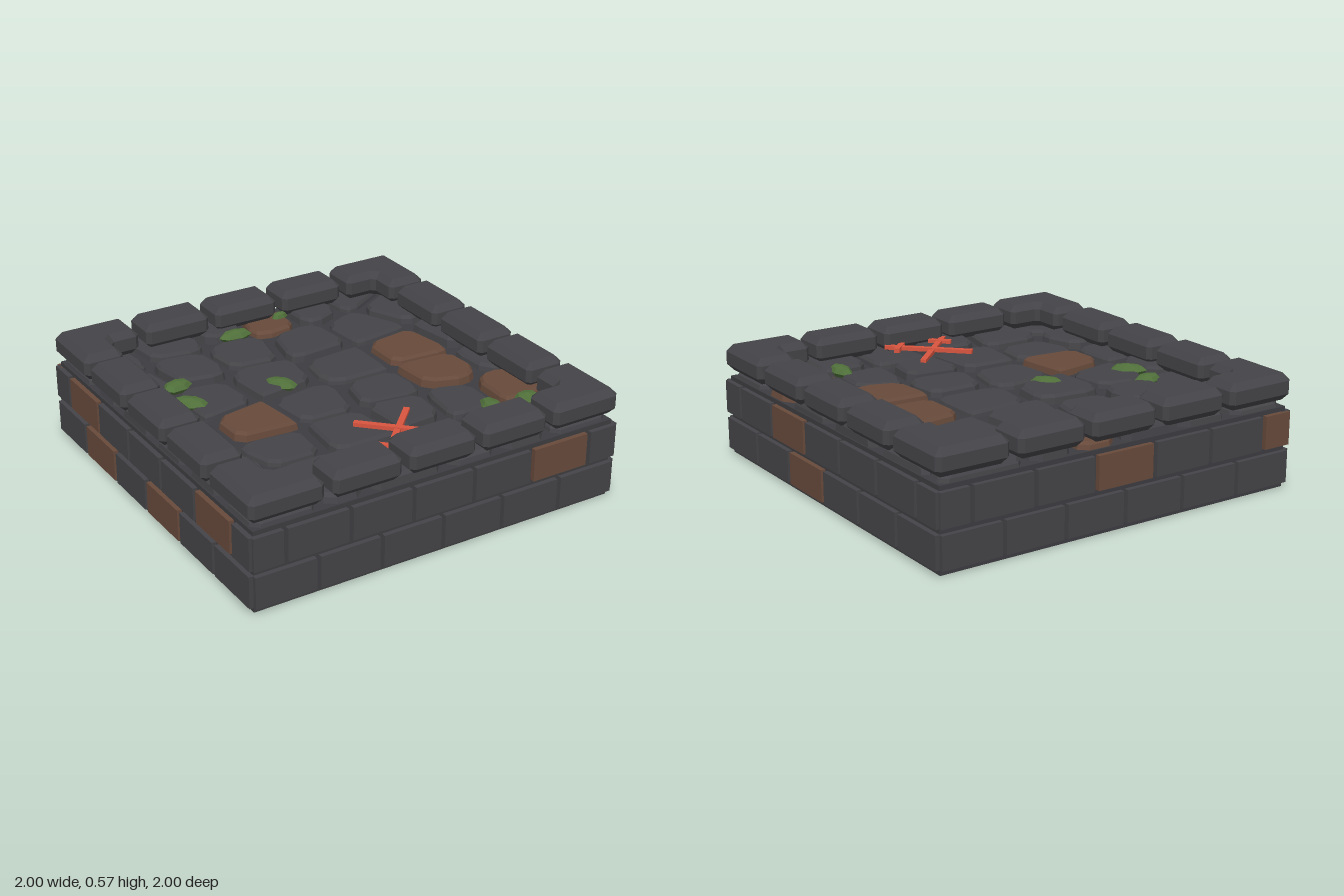
import * as THREE from 'three';
import { ConvexGeometry } from 'three/addons/geometries/ConvexGeometry.js';

const material = (name, color, flatShading = false) => {
  const m = new THREE.MeshStandardMaterial({ color, flatShading });
  m.name = name;
  return m;
};

// Keeps the part of a convex polygon where (p - o) . n <= 0
function clip(poly, ox, oz, nx, nz) {
  const out = [];
  const side = ([x, z]) => (x - ox) * nx + (z - oz) * nz;
  poly.forEach((a, i) => {
    const b = poly[(i + 1) % poly.length];
    const da = side(a), db = side(b);
    if (da <= 0) out.push(a);
    if (da * db < 0) {
      const t = da / (da - db);
      out.push([a[0] + (b[0] - a[0]) * t, a[1] + (b[1] - a[1]) * t]);
    }
  });
  return out;
}

// Cuts every corner of an outline by a fixed length (or a share of short sides)
function cutCorners(poly, cut) {
  const toward = (a, b) => {
    const d = Math.hypot(b[0] - a[0], b[1] - a[1]);
    const t = Math.min(cut / d, 0.35);
    return [a[0] + (b[0] - a[0]) * t, a[1] + (b[1] - a[1]) * t];
  };
  const n = poly.length;
  return poly.flatMap((p, i) => [toward(p, poly[(i + n - 1) % n]), toward(p, poly[(i + 1) % n])]);
}

// Paving stone centres, row by row from the back; a third value 1 means brown
const PAVING = [
  [-0.8, -0.76], [-0.45, -0.8], [-0.15, -0.88], [0.12, -0.82, 1], [0.38, -0.83], [0.65, -0.86],
  [-0.79, -0.45], [-0.5, -0.5], [-0.17, -0.54], [0.17, -0.47], [0.53, -0.5], [0.79, -0.62],
  [-0.86, -0.14], [-0.56, -0.16], [-0.2, -0.2], [0.2, -0.15], [0.58, -0.15, 1], [0.9, -0.2],
  [-0.84, 0.18], [-0.5, 0.17, 1], [-0.15, 0.13], [0.2, 0.2], [0.56, 0.17, 1], [0.9, 0.15],
  [-0.83, 0.52], [-0.52, 0.43], [-0.16, 0.46], [0.17, 0.43], [0.46, 0.46], [0.75, 0.47, 1],
  [-0.82, 0.83], [-0.52, 0.73], [-0.16, 0.81], [0.2, 0.77], [0.48, 0.78], [0.78, 0.8],
];

// Moss clumps: x, z, length, width, turn
const MOSS = [
  [-0.11, -0.72, 0.19, 0.1, 0], [0.2, -0.8, 0.1, 0.06, 0.2], [-0.64, -0.35, 0.17, 0.11, 0.2],
  [-0.67, -0.16, 0.19, 0.11, -0.8], [-0.2, -0.11, 0.18, 0.11, -0.9],
  [0.535, 0.63, 0.19, 0.1, 1.5], [0.73, 0.64, 0.14, 0.11, 0],
];

export function createModel() {
  const stone = material('dark stone', 0x444347);
  const mortar = material('mortar', 0x3d3d41);
  const brown = material('brown stone', 0x674a3b);
  const green = material('moss green', 0x50703a, true);
  const red = material('red', 0xd9553f);

  const model = new THREE.Group();
  model.name = 'stoneFloorTile';
  const group = (name) => {
    const g = new THREE.Group();
    g.name = name;
    model.add(g);
    return g;
  };
  const add = (parent, name, geometry, mat, x = 0, y = 0, z = 0) => {
    const mesh = new THREE.Mesh(geometry, mat);
    mesh.name = name;
    mesh.position.set(x, y, z);
    parent.add(mesh);
    return mesh;
  };

  // Core block with the bed for the paving
  add(model, 'core', new THREE.BoxGeometry(1.95, 0.405, 1.95), mortar, 0, 0.2025, 0);

  // Brick courses; brown lists the brown bricks of each side, counted from its left end
  const walls = [
    { name: 'frontWall', turn: 0, brown: ['top5'] },
    { name: 'leftWall', turn: Math.PI / 2, brown: ['top2', 'bottom2'] },
    { name: 'backWall', turn: Math.PI, brown: ['top3', 'top6'] },
    { name: 'rightWall', turn: -Math.PI / 2, brown: ['top1', 'bottom1', 'bottom3', 'top5'] },
  ];
  const courses = [
    { name: 'top', y: 0.3, h: 0.165, start: -1.155, count: 7 },
    { name: 'bottom', y: 0.108, h: 0.16, start: -0.99, count: 6 },
  ];
  for (const w of walls) {
    const wall = group(w.name);
    wall.rotation.y = w.turn;
    for (const c of courses) {
      for (let i = 0; i < c.count; i++) {
        const from = Math.max(c.start + i * 0.33 + 0.011, -0.985);
        const to = Math.min(c.start + (i + 1) * 0.33 - 0.011, 0.985);
        const mat = w.brown.includes(c.name + i) ? brown : stone;
        add(wall, c.name + 'Brick', new THREE.BoxGeometry(to - from, c.h, 0.05), mat,
          (from + to) / 2, c.y, 0.975);
      }
    }
  }

  // Paving stones: cells around the centres, separated by joints, with bevelled tops
  const paving = group('paving');
  PAVING.forEach(([x, z, isBrown], i) => {
    let cell = [[-0.97, -0.97], [0.97, -0.97], [0.97, 0.97], [-0.97, 0.97]];
    PAVING.forEach(([u, v], j) => {
      if (i === j) return;
      const d = Math.hypot(u - x, v - z);
      const nx = (u - x) / d, nz = (v - z) / d;
      const reach = d / 2 - 0.02;
      cell = clip(cell, x + nx * reach, z + nz * reach, nx, nz);
    });
    cell = cutCorners(cell, 0.04);
    const top = 0.437 + ((i * 7) % 5) * 0.005;
    const points = [];
    for (const [scale, y] of [[1, 0.39], [0.95, top - 0.015], [0.86, top]]) {
      for (const [px, pz] of cell) {
        points.push(new THREE.Vector3(x + (px - x) * scale, y, z + (pz - z) * scale));
      }
    }
    add(paving, 'pavingStone', new ConvexGeometry(points), isBrown ? brown : stone);
  });

  // Bevelled parapet blocks extruded upward from a plan outline
  const block = (outline) => {
    const shape = new THREE.Shape(cutCorners(outline, 0.022).map(([x, y]) => new THREE.Vector2(x, y)));
    const g = new THREE.ExtrudeGeometry(shape, {
      depth: 0.065, bevelEnabled: true, bevelSegments: 1,
      bevelSize: 0.032, bevelThickness: 0.034, bevelOffset: -0.032,
    });
    return g.rotateX(-Math.PI / 2).translate(0, 0.471, 0);
  };
  const straight = block([[-0.178, -0.995], [0.178, -0.995], [0.178, -0.785], [-0.178, -0.785]]);
  const corner = block([
    [0.62, -0.995], [0.995, -0.995], [0.995, -0.62], [0.785, -0.62], [0.785, -0.785], [0.62, -0.785],
  ]);
  const parapet = group('parapet');
  for (let k = 0; k < 4; k++) {
    const side = new THREE.Group();
    side.name = 'parapetSide';
    side.rotation.y = k * Math.PI / 2;
    parapet.add(side);
    for (const x of [-0.398, 0, 0.398]) add(side, 'parapetBlock', straight, stone, x);
    add(side, 'cornerBlock', corner, stone);
  }

  // Moss clumps
  const moss = group('moss');
  for (const [x, z, length, width, turn] of MOSS) {
    const clump = add(moss, 'mossClump', new THREE.SphereGeometry(0.5, 7, 4), green, x, 0.44, z);
    clump.scale.set(length, 0.06, width);
    clump.rotation.y = turn;
  }

  // Crossed red bars with short crosspieces near the front ends
  const cross = group('crossedBars');
  for (const s of [-1, 1]) {
    const bar = new THREE.Group();
    bar.name = 'crossedBar';
    bar.position.set(0, 0.466 + s * 0.003, 0.62);
    bar.rotation.y = s * Math.PI / 4;
    cross.add(bar);
    add(bar, 'shaft', new THREE.BoxGeometry(0.03, 0.02, 0.46), red, 0, 0, 0.02);
    add(bar, 'crosspiece', new THREE.BoxGeometry(0.12, 0.024, 0.03), red, 0, 0, 0.175);
  }
  return model;
}
